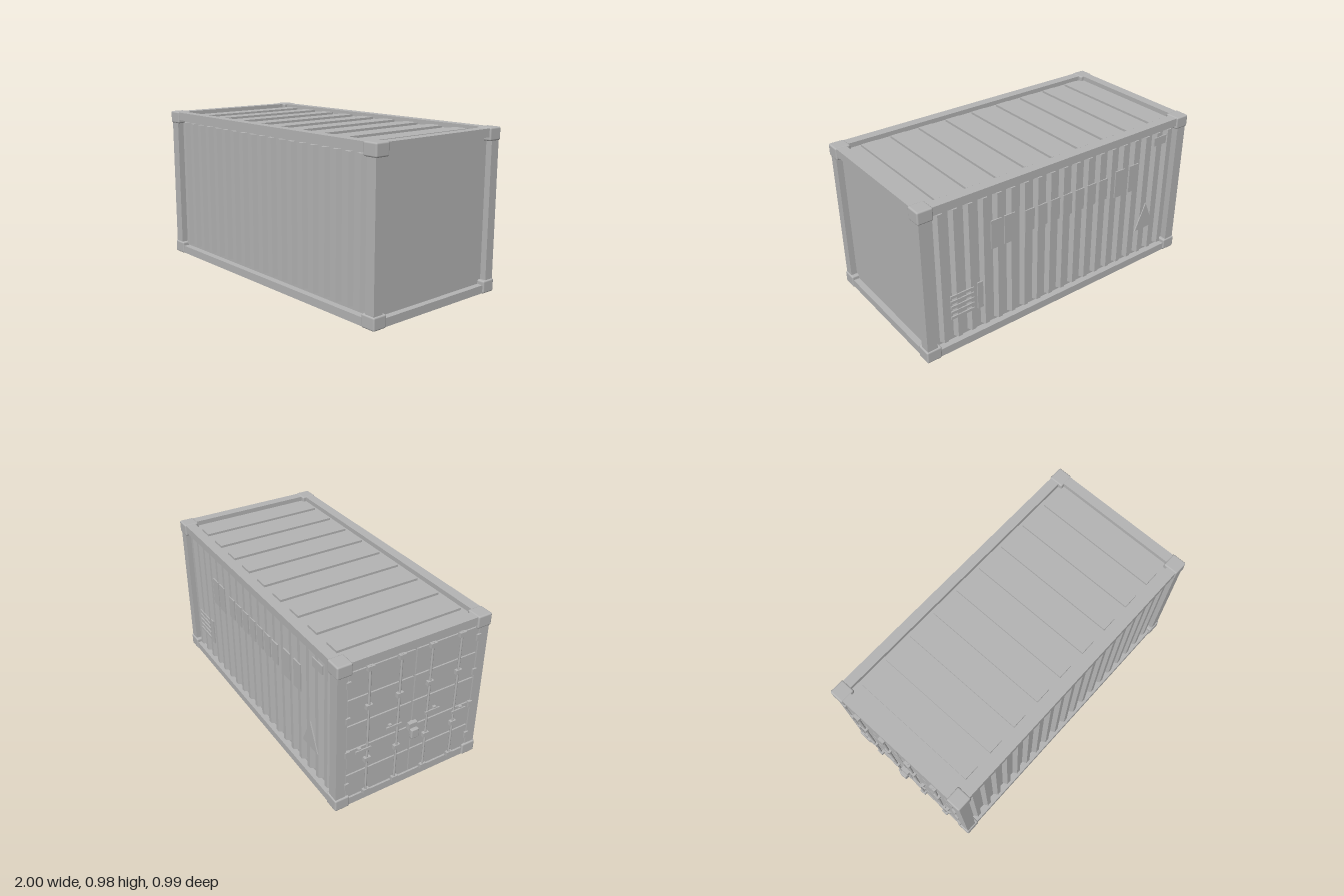
import * as THREE from 'three';
import { RoundedBoxGeometry } from 'three/addons/geometries/RoundedBoxGeometry.js';

const grey = new THREE.MeshStandardMaterial({ color: 0xb4b4b4 });
grey.name = 'painted steel grey';

function add(parent, name, geometry) {
  const mesh = new THREE.Mesh(geometry, grey);
  mesh.name = name;
  parent.add(mesh);
  return mesh;
}

// Box given by its limits on each axis
function box(parent, name, x0, x1, y0, y1, z0, z1) {
  const mesh = add(parent, name, new THREE.BoxGeometry(x1 - x0, y1 - y0, z1 - z0));
  mesh.position.set((x0 + x1) / 2, (y0 + y1) / 2, (z0 + z1) / 2);
  return mesh;
}

function group(parent, name) {
  const g = new THREE.Group();
  g.name = name;
  parent.add(g);
  return g;
}

// Trapezoid ribs along x, raised towards +z from y0 to y1
function corrugation(count, pitch, base, top, zIn, zOut, y0, y1) {
  const start = -((count - 1) * pitch) / 2;
  const shape = new THREE.Shape();
  shape.moveTo(start - base / 2, -zIn + 0.01);
  for (let i = 0; i < count; i++) {
    const c = start + i * pitch;
    shape.lineTo(c - base / 2, -zIn);
    shape.lineTo(c - top / 2, -zOut);
    shape.lineTo(c + top / 2, -zOut);
    shape.lineTo(c + base / 2, -zIn);
  }
  shape.lineTo(-start + base / 2, -zIn + 0.01);
  const g = new THREE.ExtrudeGeometry(shape, { depth: y1 - y0, bevelEnabled: false });
  return g.rotateX(-Math.PI / 2).translate(0, y0, 0);
}

export function createModel() {
  const model = new THREE.Group();
  model.name = 'shippingContainer';

  // Closed inner shell: side walls, roof, end wall and floor
  box(model, 'shell', -0.945, 0.952, 0.032, 0.942, -0.445, 0.445);

  // Frame: corner posts, long rails, cross rails and corner castings
  const frame = group(model, 'frame');
  for (const s of [-1, 1]) {
    const z0 = s > 0 ? 0.425 : -0.487;
    const z1 = s > 0 ? 0.487 : -0.425;
    box(frame, 'topRail', -0.957, 0.99, 0.921, 0.971, z0, z1);
    box(frame, 'bottomRail', -0.957, 0.99, 0.003, 0.052, z0, z1);
    box(frame, 'doorPost', -0.957, -0.89, 0.052, 0.921, z0, z1);
    box(frame, 'endPost', 0.925, 0.99, 0.052, 0.921, z0, z1);
    for (const x of [-0.918, 0.95])
      for (const y of [0.0385, 0.9365])
        add(frame, 'cornerCasting', new RoundedBoxGeometry(0.096, 0.077, 0.094, 2, 0.01))
          .position.set(x, y, s * 0.447);
  }
  for (const [x0, x1] of [[-0.957, -0.895], [0.927, 0.99]]) {
    box(frame, 'topCrossRail', x0, x1, 0.921, 0.971, -0.425, 0.425);
    box(frame, 'bottomCrossRail', x0, x1, 0.003, 0.052, -0.425, 0.425);
  }

  // Corrugated long sides
  for (const turn of [0, Math.PI]) {
    const wall = add(model, 'corrugatedSide',
      corrugation(19, 0.0938, 0.058, 0.028, 0.445, 0.473, 0.072, 0.905));
    wall.rotation.y = turn;
    wall.position.x = 0.012;
  }

  // Wide pressed ribs on the roof
  for (let i = 0; i < 9; i++) {
    const c = -0.767 + i * 0.1945;
    box(model, 'roofRib', c - 0.048, c + 0.048, 0.935, 0.956, -0.402, 0.402);
  }

  // Underside: cross plates leave three sunken pockets
  for (const [x0, x1] of [[-0.5, -0.245], [0.272, 0.51]])
    box(model, 'undersidePlate', x0, x1, 0.003, 0.034, -0.425, 0.425);

  // Doors on the -x end
  const doors = group(model, 'doors');
  for (const s of [-1, 1]) {
    const a = s * 0.006, b = s * 0.42;
    const z0 = Math.min(a, b), z1 = Math.max(a, b);
    for (let i = 0; i < 5; i++) {
      const y = 0.064 + i * 0.171;
      box(doors, 'doorPanel', -0.954, -0.94, y, y + 0.158, z0, z1);
    }
    for (const z of [0.1, 0.295]) {
      const rod = add(doors, 'lockRod', new THREE.CylinderGeometry(0.007, 0.007, 0.87, 10));
      rod.position.set(-0.963, 0.487, s * z);
      for (const y of [0.065, 0.3, 0.66, 0.905])
        box(doors, 'rodBracket', -0.975, -0.95, y - 0.014, y + 0.014, s * z - 0.02, s * z + 0.02);
      // Swing handle reaching outwards from the rod
      const y = z > 0.2 ? 0.38 : 0.46;
      const from = s * (z - 0.02), to = s * (z + 0.08);
      box(doors, 'rodHandle', -0.975, -0.967, y - 0.008, y + 0.008, Math.min(from, to), Math.max(from, to));
      box(doors, 'handleCatch', -0.97, -0.95, y - 0.016, y + 0.016,
        s * (z + 0.05) - 0.01, s * (z + 0.05) + 0.01);
    }
    for (const y of [0.15, 0.38, 0.61, 0.84])
      box(doors, 'hinge', -0.965, -0.945, y - 0.02, y + 0.02, s * 0.42 - 0.014, s * 0.42 + 0.014);
  }
  // Central padlock
  box(doors, 'lockPlate', -0.978, -0.95, 0.385, 0.43, -0.028, 0.028);
  add(doors, 'lockBody', new RoundedBoxGeometry(0.026, 0.06, 0.05, 2, 0.006))
    .position.set(-0.987, 0.37, 0);

  // Plain marking plates on the back wall
  const marks = group(model, 'markingPlates');
  const plate = (x0, x1, y0, y1) => box(marks, 'markingPlate', x0, x1, y0, y1, -0.479, -0.471);
  for (const x of [0.505, 0.415, -0.42, -0.535]) plate(x - 0.037, x + 0.037, 0.57, 0.75);
  for (let i = 0; i < 7; i++) {
    const x = 0.275 - i * 0.093;
    plate(x - 0.033, x + 0.033, 0.59, 0.73);
  }
  for (let i = 0; i < 5; i++) plate(0.665, 0.82, 0.215 + i * 0.035, 0.232 + i * 0.035);
  plate(0.605, 0.642, 0.21, 0.385);
  plate(-0.8, -0.7, 0.825, 0.88);

  // Triangular plate near the doors
  const tri = new THREE.Shape();
  tri.moveTo(-0.08, 0.25);
  tri.lineTo(0.08, 0.25);
  tri.lineTo(0, 0.43);
  add(marks, 'trianglePlate', new THREE.ExtrudeGeometry(tri, { depth: 0.008, bevelEnabled: false }))
    .position.set(-0.672, 0, -0.479);

  return model;
}
